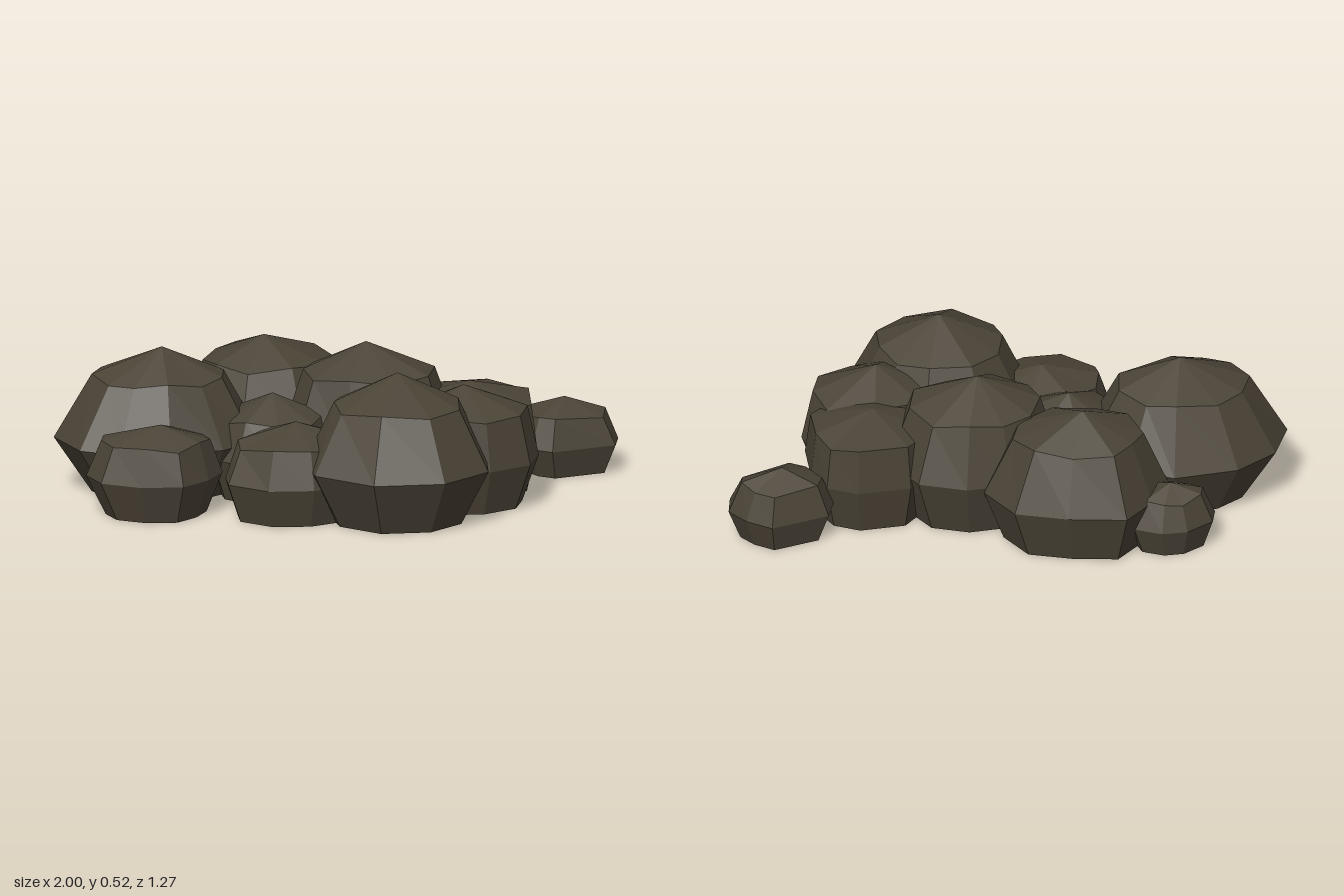
import * as THREE from 'three';

const stoneMat = new THREE.MeshStandardMaterial({ color: 0x4a4336 });
stoneMat.name = 'dark brown stone';
stoneMat.flatShading = true;

// A faceted boulder: flat base, wide waist following a plan outline, sloped shoulder and a blunt peak.
// outline = [x, z, ...] of the waist; the base and shoulder rings are copies of it scaled about the peak.
function boulder(name, { peak, waist, shoulder, base = 0.78, upper = 0.76 }, outline) {
  const [px, , pz] = peak;
  const pts = [];
  for (let i = 0; i < outline.length; i += 2) pts.push([outline[i] - px, outline[i + 1] - pz]);
  pts.sort((a, b) => Math.atan2(a[1], a[0]) - Math.atan2(b[1], b[0]));
  const n = pts.length;

  const ring = (scale, y, wobble) => pts.map(([x, z], i) => [
    px + x * scale,
    y + wobble * Math.sin(i * 2.4 + px * 9),
    pz + z * scale,
  ]);
  const rings = [ring(base, 0, 0), ring(1, waist, 0), ring(upper, shoulder, 0.01)];

  const pos = [];
  const tri = (...corners) => corners.forEach((c) => pos.push(...c));
  for (let i = 0; i < n; i++) {
    const j = (i + 1) % n;
    for (let k = 0; k < 2; k++) {
      const [lo, hi] = [rings[k], rings[k + 1]];
      tri(lo[i], hi[i], hi[j]);
      tri(lo[i], hi[j], lo[j]);
    }
    tri(rings[2][i], peak, rings[2][j]);
    tri(rings[0][i], rings[0][j], [px, 0, pz]);
  }
  const geo = new THREE.BufferGeometry();
  geo.setAttribute('position', new THREE.Float32BufferAttribute(pos, 3));
  geo.computeVertexNormals();
  const mesh = new THREE.Mesh(geo, stoneMat);
  mesh.name = name;
  return mesh;
}

export function createModel() {
  const group = new THREE.Group();
  group.name = 'rockPile';

  // Large boulders
  group.add(
    boulder('rightBoulder', { peak: [-0.62, 0.52, -0.11], waist: 0.2, shoulder: 0.42, base: 0.65, upper: 0.65 },
      [-1, -0.12, -0.93, -0.28, -0.78, -0.38, -0.55, -0.4, -0.4, -0.32, -0.28, -0.15, -0.31, 0.03, -0.43, 0.12, -0.62, 0.16, -0.8, 0.14, -0.93, 0.07]),
    boulder('backBoulder', { peak: [-0.23, 0.48, -0.36], waist: 0.185, shoulder: 0.395, base: 0.8, upper: 0.71 },
      [-0.34, -0.64, -0.14, -0.6, 0.04, -0.53, 0.12, -0.36, 0.06, -0.2, -0.12, -0.11, -0.34, -0.11, -0.48, -0.23, -0.53, -0.4, -0.45, -0.53]),
    boulder('middleBoulder', { peak: [0.1, 0.515, -0.11], waist: 0.2, shoulder: 0.41, upper: 0.76 },
      [0.18, -0.36, 0.34, -0.29, 0.42, -0.12, 0.37, 0.05, 0.2, 0.13, 0, 0.12, -0.16, 0.02, -0.19, -0.13, -0.12, -0.28, 0.02, -0.35]),
    boulder('frontBoulder', { peak: [0.16, 0.525, 0.33], waist: 0.2, shoulder: 0.415, base: 0.7, upper: 0.68 },
      [0.04, 0.635, 0.29, 0.635, 0.46, 0.5, 0.475, 0.31, 0.41, 0.15, 0.26, 0.04, 0.04, 0.04, -0.12, 0.16, -0.17, 0.32, -0.15, 0.48]),
  );

  // Medium rocks
  group.add(
    boulder('sideFrontRock', { peak: [0.41, 0.43, 0.18], waist: 0.165, shoulder: 0.34, upper: 0.85 },
      [0.675, 0.18, 0.63, 0.31, 0.48, 0.385, 0.32, 0.38, 0.18, 0.29, 0.15, 0.15, 0.25, 0.02, 0.45, -0.03, 0.64, 0.04]),
    boulder('sideBackRock', { peak: [0.46, 0.38, -0.04], waist: 0.165, shoulder: 0.32, base: 0.85, upper: 0.92 },
      [0.69, -0.1, 0.68, 0.08, 0.58, 0.16, 0.4, 0.17, 0.26, 0.07, 0.24, -0.12, 0.36, -0.25, 0.55, -0.26, 0.65, -0.2]),
    boulder('frontLowRock', { peak: [-0.19, 0.335, 0.25], waist: 0.14, shoulder: 0.27, base: 0.82, upper: 0.82 },
      [-0.44, 0.35, -0.31, 0.45, -0.15, 0.46, -0.02, 0.41, 0.05, 0.28, 0.03, 0.15, -0.1, 0.07, -0.28, 0.08, -0.41, 0.16, -0.44, 0.26]),
    boulder('frontCornerRock', { peak: [-0.66, 0.325, 0.2], waist: 0.14, shoulder: 0.265, base: 0.74, upper: 0.8 },
      [-0.92, 0.17, -0.9, 0.09, -0.76, 0.03, -0.57, 0.03, -0.46, 0.1, -0.44, 0.18, -0.5, 0.28, -0.6, 0.36, -0.75, 0.35, -0.88, 0.28]),
    boulder('innerRock', { peak: [-0.24, 0.365, -0.02], waist: 0.15, shoulder: 0.285, base: 0.8, upper: 0.78 },
      [-0.46, 0.06, -0.38, 0.14, -0.24, 0.18, -0.08, 0.15, -0.01, 0.02, -0.08, -0.16, -0.25, -0.22, -0.4, -0.17, -0.47, -0.06]),
  );

  // Small outlying stones
  group.add(
    boulder('outlyingStone', { peak: [0.81, 0.265, -0.2], waist: 0.105, shoulder: 0.21 },
      [0.62, -0.18, 0.66, -0.29, 0.87, -0.345, 0.95, -0.28, 1, -0.2, 0.98, -0.11, 0.75, -0.045, 0.68, -0.09]),
    boulder('backSmallStone', { peak: [-0.52, 0.24, -0.495], waist: 0.1, shoulder: 0.195, upper: 0.72 },
      [-0.68, -0.48, -0.66, -0.55, -0.56, -0.61, -0.47, -0.61, -0.38, -0.56, -0.36, -0.47, -0.43, -0.38, -0.56, -0.37, -0.64, -0.41]),
  );
  return group;
}
